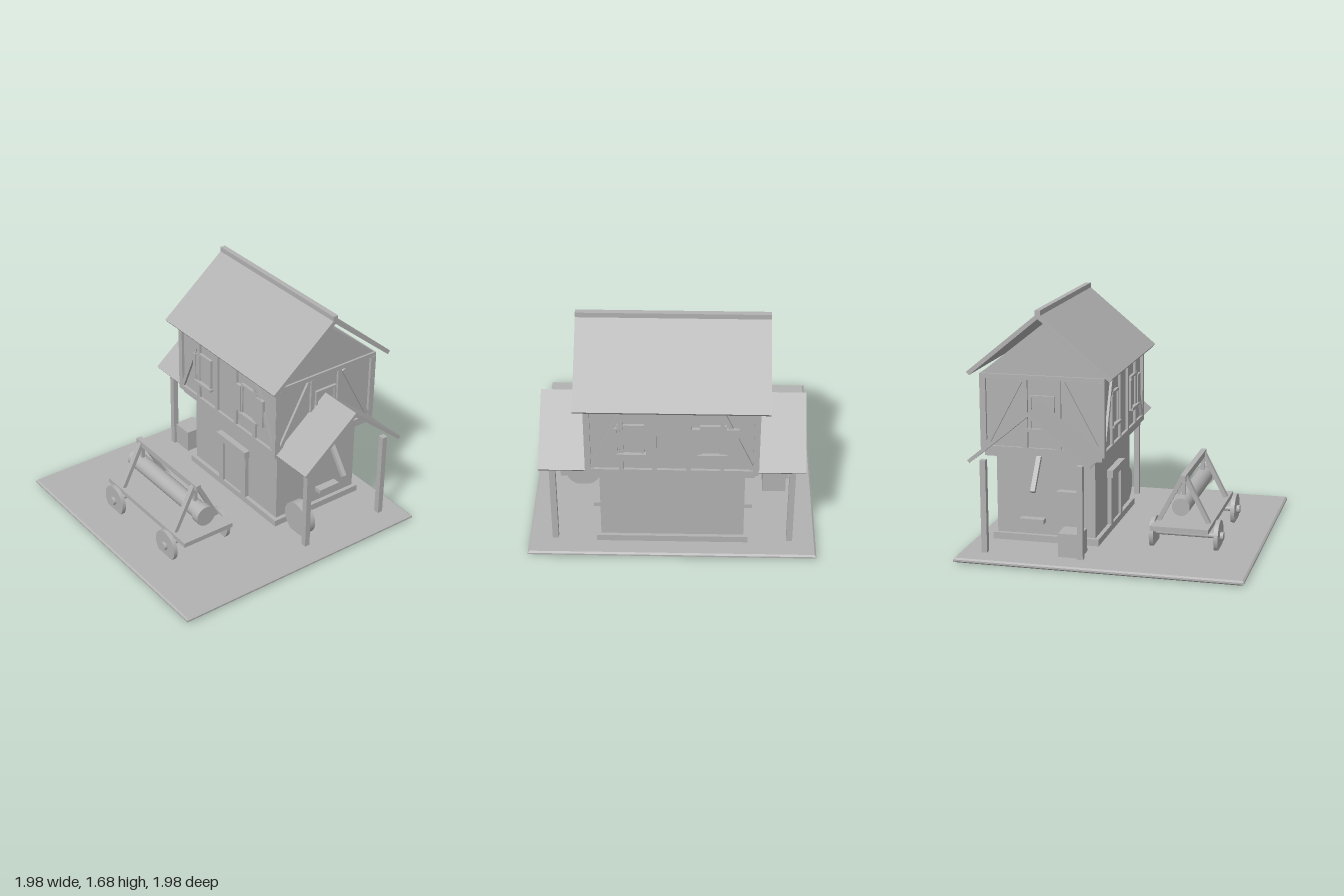
import * as THREE from 'three';

const stone = new THREE.MeshStandardMaterial({ color: 0xb2b2b2 });
stone.name = 'plain grey';
const MID = -0.48; // z of the house centre line

function add(parent, name, geometry) {
  const mesh = new THREE.Mesh(geometry, stone);
  mesh.name = name;
  parent.add(mesh);
  return mesh;
}

// Box given by its limits
function box(parent, name, x0, x1, y0, y1, z0, z1) {
  const mesh = add(parent, name, new THREE.BoxGeometry(x1 - x0, y1 - y0, z1 - z0));
  mesh.position.set((x0 + x1) / 2, (y0 + y1) / 2, (z0 + z1) / 2);
  return mesh;
}

// Square bar from a to b
function bar(parent, name, a, b, width, depth) {
  const p = new THREE.Vector3(...a), q = new THREE.Vector3(...b);
  const mesh = add(parent, name, new THREE.BoxGeometry(width, p.distanceTo(q), depth));
  mesh.position.copy(p).add(q).multiplyScalar(0.5);
  mesh.quaternion.setFromUnitVectors(new THREE.Vector3(0, 1, 0), q.sub(p).normalize());
  return mesh;
}

function cylinder(parent, name, radius, length, axis, x, y, z) {
  const g = new THREE.CylinderGeometry(radius, radius, length, 28);
  if (axis === 'x') g.rotateZ(Math.PI / 2);
  else if (axis === 'z') g.rotateX(Math.PI / 2);
  const mesh = add(parent, name, g);
  mesh.position.set(x, y, z);
  return mesh;
}

// Shape in (z, y) extruded along x from x0 to x1
function prism(parent, name, points, x0, x1) {
  const shape = new THREE.Shape(points.map(([z, y]) => new THREE.Vector2(-z, y)));
  const g = new THREE.ExtrudeGeometry(shape, { depth: x1 - x0, bevelEnabled: false });
  g.rotateY(Math.PI / 2).translate(x0, 0, 0);
  return add(parent, name, g);
}

// Two sloping slabs meeting at a ridge
function roof(parent, name, x0, x1, half, ridge, eave, thick) {
  const n = thick * 0.64, drop = thick * 0.77;
  prism(parent, name, [
    [MID, ridge], [MID + half, eave + drop], [MID + half - n, eave],
    [MID, ridge - thick * 1.3], [MID - half + n, eave], [MID - half, eave + drop],
  ], x0, x1);
}

// Window with frame, sill and open shutters (widths left and right)
function addWindow(parent, x, left, right) {
  const w = new THREE.Group();
  w.name = 'window';
  w.position.x = x;
  parent.add(w);
  box(w, 'windowPane', -0.08, 0.08, 0.86, 1.08, -0.01, 0.008);
  for (const s of [-1, 1])
    box(w, 'windowJamb', s * 0.08 - 0.008, s * 0.08 + 0.008, 0.85, 1.09, -0.01, 0.02);
  box(w, 'windowHead', -0.088, 0.088, 1.074, 1.09, -0.01, 0.02);
  box(w, 'windowSill', -0.1, 0.1, 0.84, 0.86, -0.01, 0.035);
  if (left) box(w, 'shutter', -0.088 - left, -0.088, 0.86, 1.07, 0.005, 0.028);
  if (right) box(w, 'shutter', 0.088, 0.088 + right, 0.86, 1.07, 0.005, 0.028);
}

// Timber framing of one upper wall, facing +z
function facade(parent, half, posts, braceTop, windows) {
  const f = new THREE.Group();
  f.name = 'timberFrame';
  parent.add(f);
  for (const x of posts) box(f, 'post', x - 0.016, x + 0.016, 0.72, 1.2, -0.01, 0.018);
  for (const s of [-1, 1]) {
    const c = s * (half - 0.018);
    box(f, 'cornerPost', c - 0.02, c + 0.02, 0.72, 1.2, -0.01, 0.02);
    bar(f, 'diagonalBrace', [s * braceTop, 1.185, 0.005], [s * (half - 0.04), 0.73, 0.005], 0.028, 0.026);
  }
  for (const [x, l, r] of windows) addWindow(f, x, l, r);
  return f;
}

function buildHouse(root) {
  const h = new THREE.Group();
  h.name = 'house';
  root.add(h);
  // Ground floor
  box(h, 'plinth', -0.52, 0.52, 0.03, 0.085, -0.86, -0.1);
  box(h, 'groundFloor', -0.49, 0.49, 0.03, 0.65, -0.835, -0.13);
  box(h, 'lowerSill', -0.552, 0.552, 0.645, 0.682, -0.897, -0.065);
  box(h, 'upperSill', -0.575, 0.575, 0.682, 0.722, -0.92, -0.04);
  // Doorway
  box(h, 'door', -0.11, 0.11, 0.037, 0.415, -0.14, -0.118);
  box(h, 'doorHead', -0.11, 0.11, 0.415, 0.43, -0.14, -0.105);
  for (const s of [-1, 1])
    box(h, 'doorJamb', s * 0.135 - 0.026, s * 0.135 + 0.026, 0.037, 0.43, -0.14, -0.1);
  box(h, 'doorLintel', -0.172, 0.172, 0.43, 0.485, -0.14, -0.085);
  // Wall shelves
  for (const s of [-1, 1]) {
    const c = s * 0.515;
    box(h, 'wallShelf', c - 0.035, c + 0.035, 0.175, 0.207, -0.66, -0.485);
  }
  box(h, 'wallShelf', -0.55, -0.48, 0.385, 0.417, -0.39, -0.22);
  // Upper floor
  box(h, 'upperFloor', -0.558, 0.558, 0.72, 1.2, -0.9, -0.06);
  box(h, 'wallPlate', -0.575, 0.575, 1.195, 1.228, -0.92, -0.04);
  const longPosts = [-0.335, -0.115, 0.11, 0.33];
  const longWindows = [[-0.27, 0.03, 0], [0.27, 0.05, 0.08]];
  facade(h, 0.575, longPosts, 0.335, longWindows).position.z = -0.06;
  const back = facade(h, 0.575, longPosts, 0.335, longWindows);
  back.rotation.y = Math.PI;
  back.position.z = -0.9;
  for (const s of [-1, 1]) {
    const side = facade(h, 0.435, [-0.118, 0.118], 0.15, [[0, 0, 0]]);
    side.rotation.y = s * Math.PI / 2;
    side.position.set(s * 0.558, 0, MID);
  }
  // Attic and main roof
  prism(h, 'gable', [[-0.045, 1.225], [MID, 1.572], [-0.915, 1.225]], -0.56, 0.56);
  roof(h, 'mainRoof', -0.64, 0.64, 0.51, 1.665, 1.222, 0.03);
  box(h, 'ridgeCap', -0.64, 0.64, 1.645, 1.685, MID - 0.019, MID + 0.019);
}

// Lean-to porch on one side
function buildPorch(root, s) {
  const p = new THREE.Group();
  p.name = s > 0 ? 'leftPorch' : 'rightPorch';
  root.add(p);
  const [x0, x1] = s > 0 ? [0.56, 0.893] : [-0.893, -0.56];
  roof(p, 'porchRoof', x0, x1, 0.425, 1.05, 0.68, 0.024);
  for (const z of [-0.148, -0.822])
    box(p, 'porchPost', s * 0.808 - 0.021, s * 0.808 + 0.021, 0.03, 0.685, z - 0.02, z + 0.02);
  bar(p, 'porchBrace', [s * 0.8, 0.48, MID], [s * 0.645, 0.685, MID], 0.028, 0.032);
}

function buildRam(root) {
  const r = new THREE.Group();
  r.name = 'ramCart';
  root.add(r);
  box(r, 'cartBed', -0.485, 0.482, 0.165, 0.2, 0.25, 0.657);
  for (const x of [-0.33, 0.325]) {
    cylinder(r, 'axle', 0.018, 0.49, 'z', x, 0.115, 0.475);
    for (const z of [0.25, 0.7]) cylinder(r, 'wheel', 0.113, 0.03, 'z', x, 0.114, z);
    cylinder(r, 'hub', 0.03, 0.025, 'z', x, 0.115, 0.725);
    for (const s of [-1, 1])
      bar(r, 'trestleLeg', [x, 0.2, 0.457 + s * 0.175], [x, 0.52, 0.457 + s * 0.01], 0.036, 0.03);
    box(r, 'rope', x - 0.012, x + 0.012, 0.39, 0.51, 0.445, 0.469);
  }
  box(r, 'topBeam', -0.375, 0.372, 0.496, 0.54, 0.438, 0.477);
  cylinder(r, 'ramLog', 0.062, 0.83, 'x', -0.02, 0.333, 0.457);
  cylinder(r, 'ramHead', 0.075, 0.065, 'x', 0.425, 0.333, 0.457);
}

export function createModel() {
  const root = new THREE.Group();
  root.name = 'siegeWorkshop';
  // Ground slab with a small chamfer
  const e = 0.978;
  const square = new THREE.Shape([[-e, -e], [e, -e], [e, e], [-e, e]].map(([x, y]) => new THREE.Vector2(x, y)));
  const slab = new THREE.ExtrudeGeometry(square, {
    depth: 0.012, bevelEnabled: true, bevelSize: 0.012, bevelThickness: 0.01, bevelSegments: 1,
  });
  slab.rotateX(-Math.PI / 2).translate(0, 0.015, 0);
  add(root, 'groundSlab', slab);

  buildHouse(root);
  for (const s of [-1, 1]) buildPorch(root, s);
  buildRam(root);
  // Loose items under the porches
  cylinder(root, 'grindstone', 0.125, 0.075, 'z', 0.655, 0.152, -0.217);
  box(root, 'crate', -0.8, -0.635, 0.037, 0.202, -0.31, -0.15);
  return root;
}
